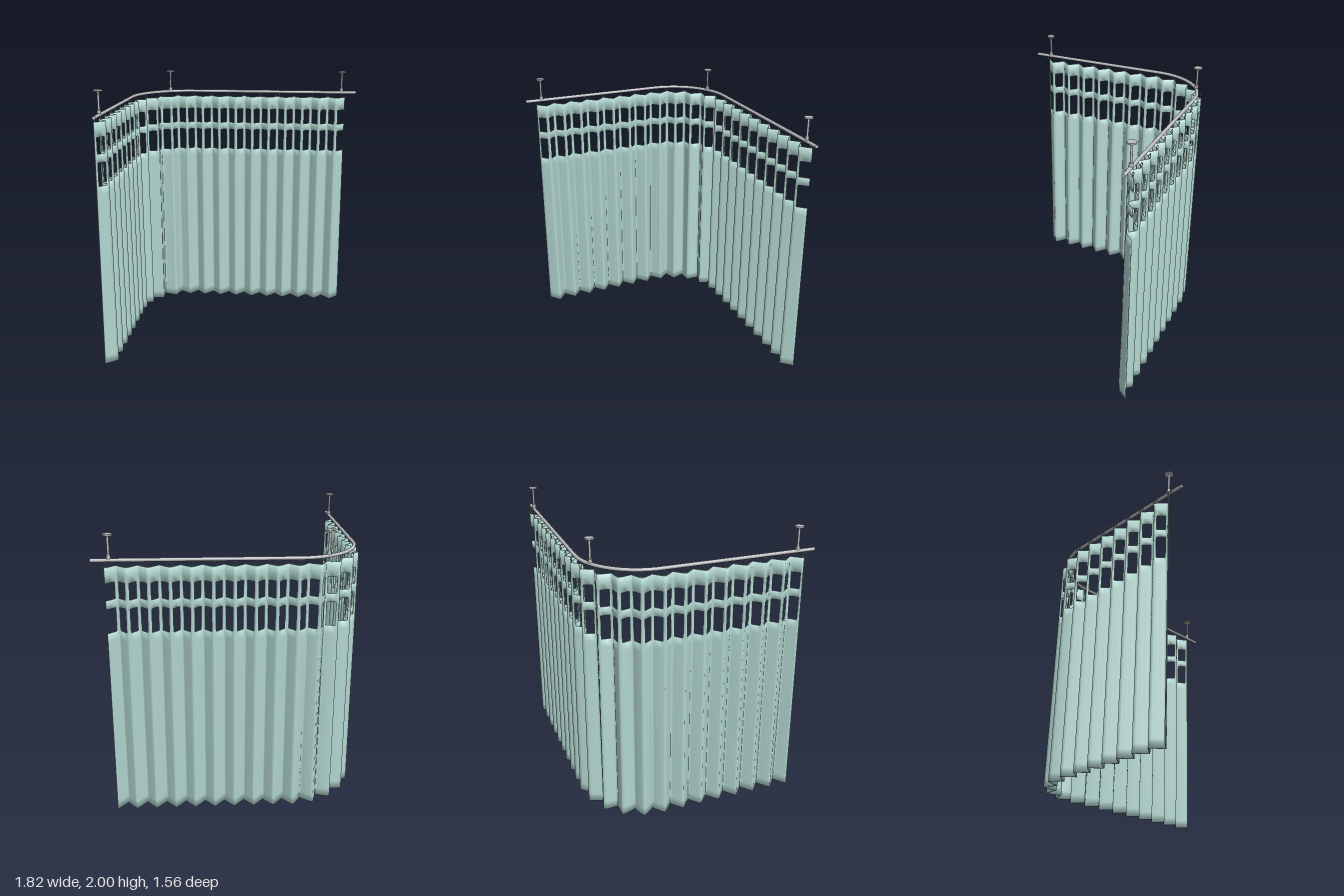
import * as THREE from 'three';

const fabric = new THREE.MeshStandardMaterial({ color: 0xb4d8d2 });
fabric.name = 'pale teal fabric';
const metal = new THREE.MeshStandardMaterial({ color: 0xbcbec0 });
metal.name = 'grey metal';

// Plan path: a straight side leg, a quarter bend, and a straight back leg
const R = 0.43, CX = -0.44, CZ = -0.31, SIDE = 1.0, BACK = 1.26;
const ARC = R * Math.PI / 2, LENGTH = SIDE + ARC + BACK;
const HALF_PLEATS = 42, PITCH = LENGTH / HALF_PLEATS;
const RAIL_Y = 1.828;

// Point on the path at distance s, moved outward by offset
function pathPoint(s, offset = 0) {
  const r = R + offset;
  if (s < SIDE) return [CX - r, CZ + SIDE - s];
  if (s > SIDE + ARC) return [CX + s - SIDE - ARC, CZ - r];
  const a = (s - SIDE) / R;
  return [CX - r * Math.cos(a), CZ - r * Math.sin(a)];
}

// Pleated cloth with thickness; window cells are left out and edges closed
function curtainGeometry() {
  const rows = [0, 0.06, 1.28, 1.34, 1.505, 1.535, 1.565, 1.68, 1.73, 1.785];
  const windowRows = [3, 6];
  const steps = [0, 0.18, 0.5, 0.82];
  const cols = [];
  for (let k = 0; k < HALF_PLEATS; k++) {
    for (const t of steps) {
      const w = 1 - 2 * t;
      cols.push({ s: (k + t) * PITCH, wave: k % 2 ? -w : w });
    }
  }
  cols.push({ s: LENGTH, wave: 1 });
  const nc = cols.length, nr = rows.length, half = 0.003;

  const pos = [];
  rows.forEach((y) => {
    const amp = 0.041 - 0.009 * y / 1.785;
    const line = cols.map((c) => pathPoint(c.s, c.wave * amp));
    line.forEach(([x, z], i) => {
      const p = line[Math.max(0, i - 1)], q = line[Math.min(nc - 1, i + 1)];
      const dx = q[0] - p[0], dz = q[1] - p[1], l = Math.hypot(dx, dz);
      for (const side of [half, -half]) pos.push(x + dz / l * side, y, z - dx / l * side);
    });
  });

  const solid = (i, j) => {
    if (i < 0 || j < 0 || i >= nc - 1 || j >= nr - 1) return false;
    const open = i % 4 === 1 || i % 4 === 2 || i === nc - 2;
    return !(open && windowRows.includes(j));
  };
  const id = (i, j, k) => (j * nc + i) * 2 + k;
  const index = [];
  const normals = new Float32Array(pos.length);
  const at = (v) => new THREE.Vector3().fromArray(pos, v * 3);
  // Every quad counts equally in the normals, giving soft rolled hems
  const quad = (a, b, c, d) => {
    index.push(a, b, c, a, c, d);
    const n = at(c).sub(at(a)).cross(at(d).sub(at(b))).normalize();
    for (const v of [a, b, c, d]) {
      normals[v * 3] += n.x; normals[v * 3 + 1] += n.y; normals[v * 3 + 2] += n.z;
    }
  };
  for (let j = 0; j < nr - 1; j++) {
    for (let i = 0; i < nc - 1; i++) {
      if (!solid(i, j)) continue;
      const loop = [[i, j], [i, j + 1], [i + 1, j + 1], [i + 1, j]];
      const next = [[i - 1, j], [i, j + 1], [i + 1, j], [i, j - 1]];
      quad(...loop.map(([a, b]) => id(a, b, 0)));
      quad(...loop.map(([a, b]) => id(a, b, 1)).reverse());
      next.forEach((n, e) => {
        if (solid(...n)) return;
        const p = loop[e], q = loop[(e + 1) % 4];
        quad(id(...q, 0), id(...p, 0), id(...p, 1), id(...q, 1));
      });
    }
  }
  const g = new THREE.BufferGeometry();
  g.setAttribute('position', new THREE.Float32BufferAttribute(pos, 3));
  g.setAttribute('normal', new THREE.BufferAttribute(normals, 3));
  g.setIndex(index);
  g.normalizeNormals();
  return g;
}

function add(parent, name, geometry, material, x = 0, y = 0, z = 0) {
  const m = new THREE.Mesh(geometry, material);
  m.name = name;
  m.position.set(x, y, z);
  parent.add(m);
  return m;
}

export function createModel() {
  const model = new THREE.Group();
  model.name = 'cornerCurtain';
  add(model, 'curtain', curtainGeometry(), fabric);

  // Bent rail with closed ends
  const start = -0.09, end = LENGTH + 0.09, pts = [];
  for (let i = 0; i <= 60; i++) {
    const [x, z] = pathPoint(start + (end - start) * i / 60);
    pts.push(new THREE.Vector3(x, RAIL_Y, z));
  }
  const curve = new THREE.CatmullRomCurve3(pts);
  add(model, 'rail', new THREE.TubeGeometry(curve, 120, 0.0125, 12), metal);
  const cap = new THREE.CircleGeometry(0.0125, 12);
  add(model, 'railEndFront', cap, metal, pts[0].x, RAIL_Y, pts[0].z);
  add(model, 'railEndSide', cap, metal, pts[60].x, RAIL_Y, pts[60].z).rotation.y = Math.PI / 2;

  // One ring above every outer fold
  const rings = new THREE.Group();
  rings.name = 'rings';
  model.add(rings);
  const ring = new THREE.TorusGeometry(0.016, 0.0025, 6, 16);
  for (let k = 0; k <= HALF_PLEATS; k += 2) {
    const s = k * PITCH;
    const [x, z] = pathPoint(s, 0.026);
    const turn = THREE.MathUtils.clamp((s - SIDE) / R, 0, Math.PI / 2);
    add(rings, 'ring', ring, metal, x, 1.802, z).rotation.y = Math.PI / 2 - turn;
  }

  // Ceiling hangers
  const stem = new THREE.CylinderGeometry(0.008, 0.008, 0.16, 12);
  const collar = new THREE.CylinderGeometry(0.014, 0.014, 0.028, 12);
  const plate = new THREE.CylinderGeometry(0.031, 0.031, 0.01, 24);
  for (const [x, z] of [[-0.87, 0.655], [-0.635, -0.693], [0.79, -0.74]]) {
    const hanger = new THREE.Group();
    hanger.name = 'hanger';
    hanger.position.set(x, 0, z);
    add(hanger, 'stem', stem, metal, 0, 1.915, 0);
    add(hanger, 'collar', collar, metal, 0, 1.848, 0);
    add(hanger, 'ceilingPlate', plate, metal, 0, 1.995, 0);
    model.add(hanger);
  }
  return model;
}
